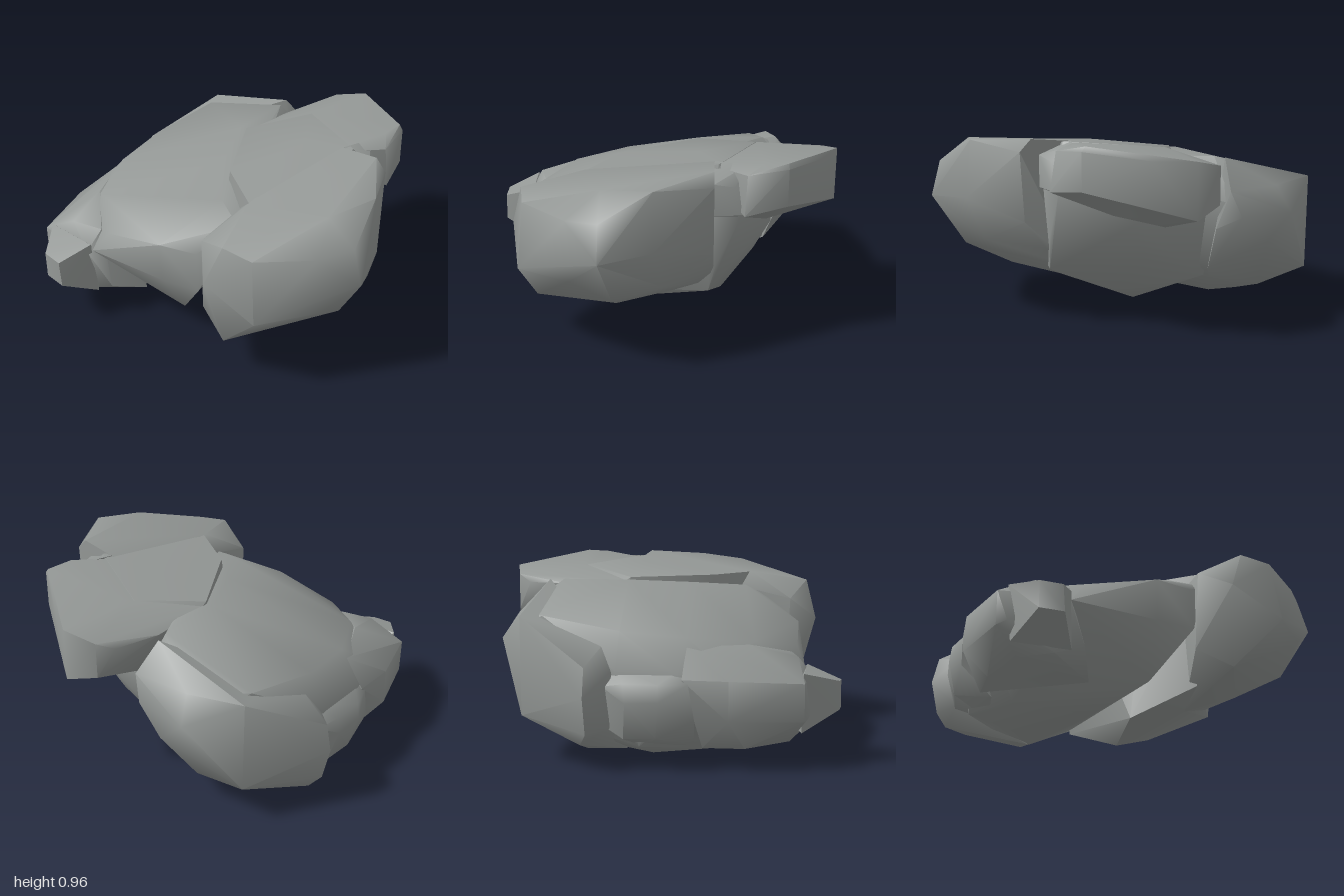
import * as THREE from 'three';
import { ConvexGeometry } from 'three/addons/geometries/ConvexGeometry.js';
import { toCreasedNormals } from 'three/addons/utils/BufferGeometryUtils.js';

const material = new THREE.MeshStandardMaterial({ color: 0x949896 });

// One boulder: the hull of a few corner points, softly shaded across shallow edges
function boulder(name, corners) {
  const hull = new ConvexGeometry(corners.map((c) => new THREE.Vector3(...c)));
  const mesh = new THREE.Mesh(toCreasedNormals(hull, 0.95), material);
  mesh.name = name;
  return mesh;
}

export function createModel() {
  const rock = new THREE.Group();
  rock.name = 'rockCluster';

  // Large rounded mass at the back, sloping down to the rear
  rock.add(boulder('backBoulder', [
    [0.2, 0.85, -0.2], [0.55, 0.85, -0.22], [-0.1, 0.83, -0.04], [-0.36, 0.8, 0.2],
    [-0.42, 0.75, 0.36], [-0.6, 0.62, 0.25], [-0.6, 0.4, 0.26], [-0.67, 0.62, 0.06],
    [-0.7, 0.54, -0.3], [-0.52, 0.59, -0.56], [-0.22, 0.62, -0.72], [0.1, 0.65, -0.77],
    [0.5, 0.71, -0.73], [0.7, 0.7, -0.5], [0.78, 0.57, -0.54], [0.78, 0.44, -0.4],
    [0.74, 0.64, -0.21], [0.1, 0.47, -0.86], [-0.2, 0.46, -0.85], [-0.42, 0.46, -0.78],
    [-0.75, 0.42, -0.38], [-0.66, 0.4, 0.06], [0.59, 0.16, -0.47], [0.34, 0.07, -0.5],
    [0.14, 0.01, -0.46], [0, 0, -0.5], [-0.28, 0.03, -0.2], [-0.3, 0.06, -0.6],
    [-0.5, 0.14, 0.05], [0, 0.1, -0.8], [0.57, 0.27, -0.19],
  ]));

  // Broad boulder wrapping the left rear corner and ending in a sharp ridge
  rock.add(boulder('cornerBoulder', [
    [0.12, 0.47, -0.86], [0.18, 0.58, -0.8], [0.45, 0.68, -0.73], [0.6, 0.71, -0.775],
    [0.6, 0.22, -0.77], [0.22, 0.5, -0.97], [0.22, 0.36, -1], [0.22, 0.18, -0.96],
    [0.13, 0.2, -0.86], [0.26, 0.12, -0.91], [0.25, 0.08, -0.8], [0.7, 0.7, -0.5],
    [0.78, 0.57, -0.54], [0.78, 0.44, -0.4], [0.77, 0.57, -0.25], [0.74, 0.7, -0.2],
    [0.62, 0.85, -0.24], [0.66, 0.5, -0.17], [0.57, 0.27, -0.18], [0.6, 0.16, -0.47],
    [0.34, 0.07, -0.5], [0.14, 0.01, -0.48],
  ]));

  // Middle mass joining the boulders and carrying the flat top
  rock.add(boulder('core', [
    [0.33, 0.15, 0.22], [0.26, 0.29, 0.56], [0.3, 0.45, 0.58], [0.42, 0.72, 0.58],
    [0.28, 0.72, 0.6], [0.5, 0.35, 0.15], [0.58, 0.55, 0.25], [0.6, 0.6, -0.18],
    [0.5, 0.22, -0.2], [0.1, 0.02, 0], [0.1, 0.08, 0.08], [-0.28, 0.03, 0],
    [-0.4, 0.18, 0.32], [-0.2, 0.12, 0.3], [-0.37, 0.86, 0.4], [-0.2, 0.86, 0.1],
    [0.2, 0.86, -0.16], [0.5, 0.91, 0.05], [0.3, 0.94, 0.5], [0.2, 0.92, 0.25],
  ]));

  // Front lobe with a blunt nose
  rock.add(boulder('frontBoulder', [
    [-0.6, 0.72, 0.29], [-0.67, 0.81, 0.5], [-0.64, 0.79, 0.66], [-0.25, 0.91, 0.79],
    [-0.41, 0.78, 0.86], [0, 0.935, 0.87], [0.28, 0.96, 0.66], [0.28, 0.9, 0.72],
    [-0.25, 0.8, 0.95], [-0.25, 0.62, 1], [0, 0.64, 0.9], [0.28, 0.55, 0.7],
    [-0.73, 0.6, 0.43], [-0.67, 0.46, 0.7], [-0.4, 0.48, 0.88], [0.05, 0.43, 0.82],
    [0.27, 0.4, 0.58], [-0.62, 0.2, 0.45], [-0.2, 0.12, 0.3], [-0.2, 0.22, 0.58],
    [-0.2, 0.36, 0.84], [-0.58, 0.3, 0.27], [0.29, 0.28, 0.42], [-0.37, 0.86, 0.38],
    [0.28, 0.92, 0.3],
  ]));

  // Overhanging ledge on the left
  rock.add(boulder('ledge', [
    [0.44, 0.92, 0.6], [0.52, 0.96, 0.54], [0.64, 0.965, 0.54], [0.64, 0.94, 0.56],
    [0.43, 0.72, 0.63], [0.64, 0.75, 0.56], [0.92, 0.9, 0.1], [0.92, 0.62, 0.1],
    [0.82, 0.9, 0.28], [0.62, 0.53, 0.1], [0.55, 0.6, 0.35], [0.86, 0.86, -0.06],
    [0.86, 0.67, -0.06], [0.78, 0.82, -0.11], [0.55, 0.82, -0.17], [0.2, 0.84, -0.17],
    [0.6, 0.6, -0.08], [0.52, 0.91, 0.05], [0.2, 0.92, 0.4],
  ]));

  // Small block wedged between the lobe and the ledge
  rock.add(boulder('wedgeBlock', [
    [0.28, 0.88, 0.62], [0.38, 0.86, 0.6], [0.44, 0.94, 0.5], [0.28, 0.94, 0.45],
    [0.28, 0.72, 0.62], [0.43, 0.72, 0.61], [0.3, 0.66, 0.5],
  ]));

  // Low rounded stone at the rear
  rock.add(boulder('backStone', [
    [-0.25, 0.42, -0.86], [-0.12, 0.42, -0.91], [0.05, 0.42, -0.91], [0.16, 0.4, -0.88],
    [-0.12, 0.34, -0.92], [0.04, 0.33, -0.92], [-0.1, 0.16, -0.88], [0.06, 0.15, -0.87],
    [-0.28, 0.25, -0.86], [0.16, 0.2, -0.84], [-0.2, 0.48, -0.82], [0.1, 0.48, -0.82],
    [0, 0.08, -0.7], [-0.25, 0.1, -0.7],
  ]));

  // Lower stone on the right with a projecting nub
  rock.add(boulder('sideStone', [
    [-0.78, 0.42, -0.73], [-0.44, 0.44, -0.855], [-0.22, 0.44, -0.86], [-0.73, 0.52, -0.55],
    [-0.5, 0.58, -0.6], [-0.22, 0.58, -0.75], [-0.78, 0.42, -0.39], [-0.68, 0.52, -0.38],
    [-0.8, 0.26, -0.68], [-0.7, 0.12, -0.62], [-0.5, 0.1, -0.74], [-0.44, 0.25, -0.86],
    [-0.7, 0.2, -0.3], [-0.3, 0.1, -0.76], [-0.5, 0.11, -0.25], [-0.78, 0.24, -0.73],
    [-0.74, 0.14, -0.45],
  ]));
  rock.add(boulder('sideNub', [
    [-0.93, 0.41, -0.55], [-0.93, 0.4, -0.44], [-0.93, 0.27, -0.55], [-0.93, 0.26, -0.43],
    [-0.77, 0.46, -0.68], [-0.76, 0.46, -0.38], [-0.76, 0.17, -0.66], [-0.74, 0.16, -0.37],
    [-0.6, 0.3, -0.5],
  ]));

  return rock;
}
